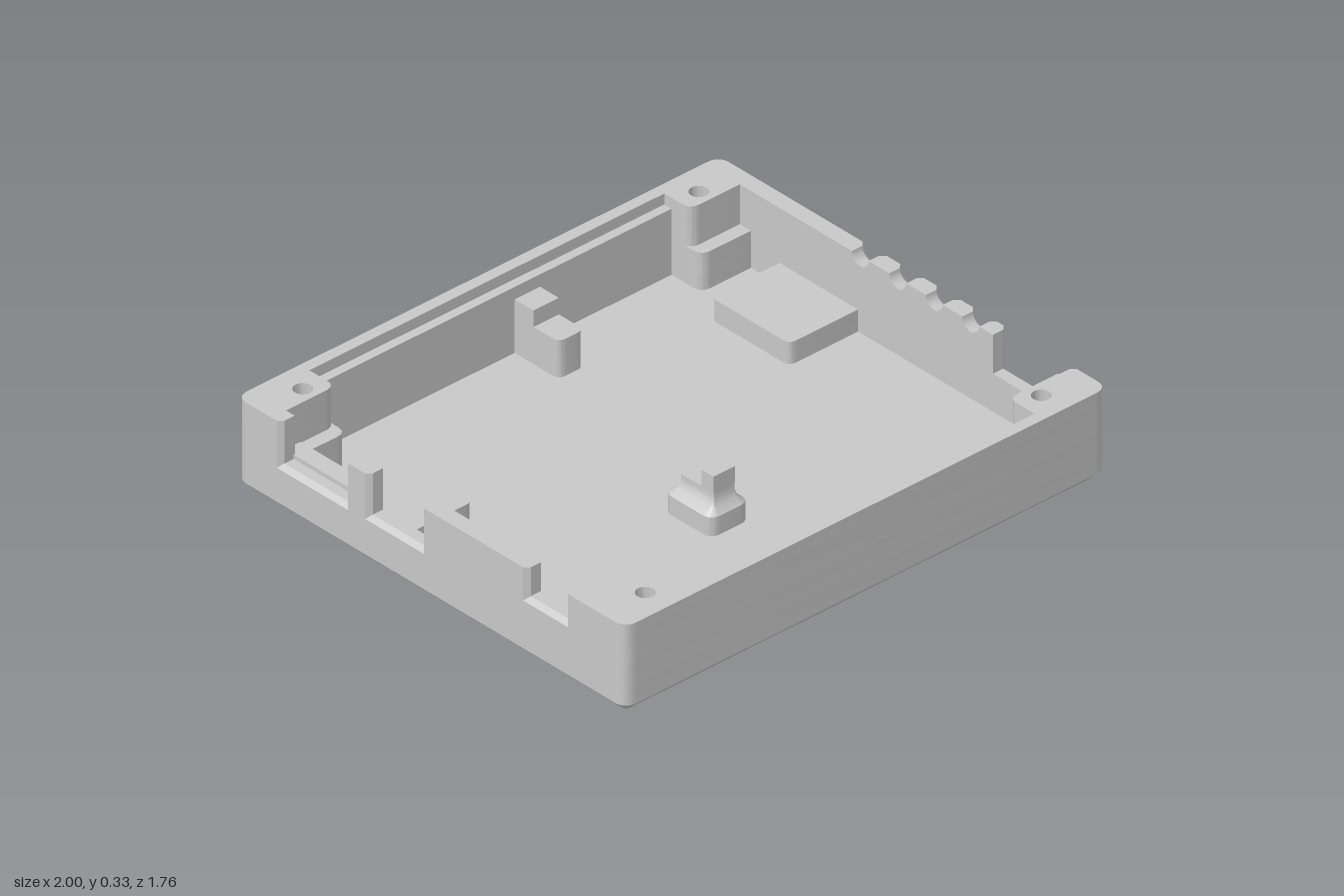
import * as THREE from 'three';
import { toCreasedNormals } from 'three/addons/utils/BufferGeometryUtils.js';

const H = 0.33, SKIRT = 0.035, FLOOR = 0.05, SEAT = 0.185;

// Closed outline from [x, y, cornerRadius] points
function outline(pts, Type = THREE.Shape) {
  const s = new Type(), n = pts.length;
  const toward = (a, b, r) => {
    const d = Math.hypot(b[0] - a[0], b[1] - a[1]);
    return [a[0] + (b[0] - a[0]) * r / d, a[1] + (b[1] - a[1]) * r / d];
  };
  pts.forEach((p, i) => {
    const r = p[2] || 0;
    const a = r ? toward(p, pts[(i + n - 1) % n], r) : p;
    if (i) s.lineTo(a[0], a[1]); else s.moveTo(a[0], a[1]);
    if (r) {
      const b = toward(p, pts[(i + 1) % n], r);
      s.quadraticCurveTo(p[0], p[1], b[0], b[1]);
    }
  });
  s.closePath();
  return s;
}
const rect = (x0, x1, y0, y1, r = 0) =>
  outline([[x0, y0, r], [x1, y0, r], [x1, y1, r], [x0, y1, r]]);

// Circle (or regular polygon) hole
function roundHole(x, y, r, n = 24) {
  const pts = [];
  for (let i = 0; i < n; i++) {
    const a = -i / n * Math.PI * 2;
    pts.push([x + r * Math.cos(a), y + r * Math.sin(a)]);
  }
  return outline(pts, THREE.Path);
}

// Keyhole: big circle with a narrow slot running towards the back
function keyhole(x) {
  const p = new THREE.Path(), y = 0.305, R = 0.075, r = 0.03;
  const a = Math.acos(r / R);
  p.absarc(x, y, R, a, Math.PI - a, true);
  p.lineTo(x - r, 0.45);
  p.absarc(x, 0.45, r, Math.PI, 0, true);
  p.closePath();
  return p;
}

// Plan outline (x, -z) raised from y0 to y1
function slab(shape, y0, y1, holes = []) {
  shape.holes = holes;
  const g = new THREE.ExtrudeGeometry(shape, { depth: y1 - y0, bevelEnabled: false, curveSegments: 8 });
  return toCreasedNormals(g.rotateX(-Math.PI / 2).translate(0, y0, 0), 0.6);
}

// Join equal-length cross-sections [points, depth] along local z
function loft(sections, caps) {
  const pos = [], n = sections[0][0].length;
  const put = (s, i) => pos.push(s[0][i].x, s[0][i].y, s[1]);
  for (let k = 0; k + 1 < sections.length; k++) {
    const a = sections[k], b = sections[k + 1];
    for (let i = 0; i < n; i++) {
      const j = (i + 1) % n;
      put(a, i); put(a, j); put(b, j);
      put(a, i); put(b, j); put(b, i);
    }
  }
  if (caps) {
    const first = sections[0], last = sections[sections.length - 1];
    for (const t of THREE.ShapeUtils.triangulateShape(first[0], [])) {
      put(first, t[2]); put(first, t[1]); put(first, t[0]);
    }
    for (const t of THREE.ShapeUtils.triangulateShape(last[0], [])) {
      put(last, t[0]); put(last, t[1]); put(last, t[2]);
    }
  }
  const g = new THREE.BufferGeometry();
  g.setAttribute('position', new THREE.Float32BufferAttribute(pos, 3));
  g.computeVertexNormals();
  return toCreasedNormals(g, 0.6);
}

// Side wall profile; notches are listed from +u to -u, grown by g
function wallProfile(notches, g) {
  const pts = [[-0.75, SKIRT], [0.75, SKIRT], [0.75, H]];
  for (const c of notches) {
    if (c.r) {
      for (let i = 0; i <= 12; i++) {
        const a = -i / 12 * Math.PI;
        pts.push([c.u + (c.r + g) * Math.cos(a), H + (c.r + g) * Math.sin(a)]);
      }
    } else {
      pts.push([c.u1 + g, H], [c.u1 + g, c.y - g], [c.u0 - g, c.y - g], [c.u0 - g, H]);
    }
  }
  pts.push([-0.75, H]);
  return pts.map(p => new THREE.Vector2(p[0], p[1]));
}
const sideWall = notches => loft([
  [wallProfile(notches, 0), 0.94], [wallProfile(notches, 0), 0.983], [wallProfile(notches, 0.016), 1],
], true);

// End wall with both corner posts: q = inner wall face, p = inner post face
function endPlan(q, p) {
  const half = [[1, 0.75], [1, 0.88, 0.05]];
  const inner = [[0.735, q], [0.735, p, 0.04], [0.94, p], [0.94, 0.75]];
  const flip = a => a.map(([x, y, r]) => [-x, y, r]).reverse();
  return outline([...half, ...flip(half), ...flip(inner), ...inner]);
}

export function createModel() {
  const model = new THREE.Group();
  const grey = new THREE.MeshStandardMaterial({ color: 0xc8c8c8 });
  grey.name = 'light grey plastic';
  const add = (name, geo, parent = model) => {
    const m = new THREE.Mesh(geo, grey);
    m.name = name;
    parent.add(m);
  };

  // Floor with nut pockets and hanging keyholes
  const nuts = [];
  for (const x of [-0.82, 0.82]) for (const y of [-0.775, 0.775]) nuts.push(roundHole(x, y, 0.052, 6));
  add('floor', slab(rect(-0.965, 0.965, -0.845, 0.845, 0.015), 0, FLOOR,
    [...nuts, keyhole(-0.79), keyhole(0.79)]));

  // Chamfered bottom edge
  const ring = (e, r) => rect(-1 + e, 1 - e, -0.88 + e, 0.88 - e, r).getPoints(8).slice(0, -1);
  add('bottomChamfer', loft([[ring(SKIRT, 0.015), 0], [ring(0, 0.05), SKIRT]], false).rotateX(-Math.PI / 2));

  // End walls in stepped layers; a thin bridge closes the screw holes above the nut pockets
  for (const [name, turn] of [['backWall', 0], ['frontWall', Math.PI]]) {
    const wall = new THREE.Group();
    wall.name = name;
    wall.rotation.y = turn;
    model.add(wall);
    const holes = (r, n) => [-0.82, 0.82].map(x => roundHole(x, 0.775, r, n));
    add('nutPocketLayer', slab(endPlan(0.805, 0.67), SKIRT, 0.1, holes(0.052, 6)), wall);
    add('nutPocketBridge', slab(endPlan(0.805, 0.67), 0.1, 0.11), wall);
    add('postLedge', slab(endPlan(0.805, 0.67), 0.11, SEAT, holes(0.032)), wall);
    add('wallUpper', slab(endPlan(0.805, 0.72), SEAT, 0.29, holes(0.032)), wall);
    add('wallRim', slab(endPlan(0.838, 0.72), 0.29, H, holes(0.032)), wall);
  }

  // Right-hand wall: four cable notches and one port
  add('cableWall', sideWall([
    ...[0.175, 0.005, -0.16, -0.325].map(u => ({ u, r: 0.038 })),
    { u0: -0.725, u1: -0.425, y: 0.188 },
  ]).rotateY(Math.PI / 2));

  // Opposite wall: three ports
  add('portWall', sideWall([
    { u0: 0.435, u1: 0.605, y: 0.225 },
    { u0: -0.28, u1: -0.045, y: 0.18 },
    { u0: -0.68, u1: -0.39, y: 0.175 },
  ]).rotateY(-Math.PI / 2));
  add('portShelf', slab(rect(-0.945, -0.88, 0.39, 0.72), FLOOR, 0.19));

  // Raised pads that cover the keyholes
  for (const s of [-1, 1]) {
    const pad = () => rect(s * 0.8125 - 0.1575, s * 0.8125 + 0.1575, 0.185, 0.54, 0.03);
    add('keyholePad', slab(pad(), FLOOR, 0.11, [keyhole(s * 0.79)]));
    add('keyholePadTop', slab(pad(), 0.11, 0.13));
  }

  // Board support against the back wall
  add('backSupport', slab(outline([[0.085, 0.82], [0.085, 0.605, 0.03],
    [0.19, 0.605, 0.03], [0.19, 0.82]]), FLOOR, SEAT));
  add('backStop', slab(rect(0.085, 0.19, 0.72, 0.82), SEAT, 0.245));

  // Freestanding board support with a curved sloping foot
  const section = (x0, x1, z0, z1, r) => rect(x0, x1, -z1, -z0, r).getPoints(8).slice(0, -1);
  const foot = section(-0.177, -0.016, 0.155, 0.37, 0.04);
  const slope = section(-0.15, -0.042, 0.18, 0.349, 0.012);
  const neck = section(-0.139, -0.05, 0.19, 0.34, 0.004);
  add('centreSupport', loft([[foot, FLOOR], [foot, 0.118], [slope, 0.138], [neck, 0.16], [neck, SEAT]], true)
    .rotateX(-Math.PI / 2));
  add('centreStop', slab(rect(-0.139, -0.05, -0.34, -0.285), SEAT, 0.245));

  return model;
}
